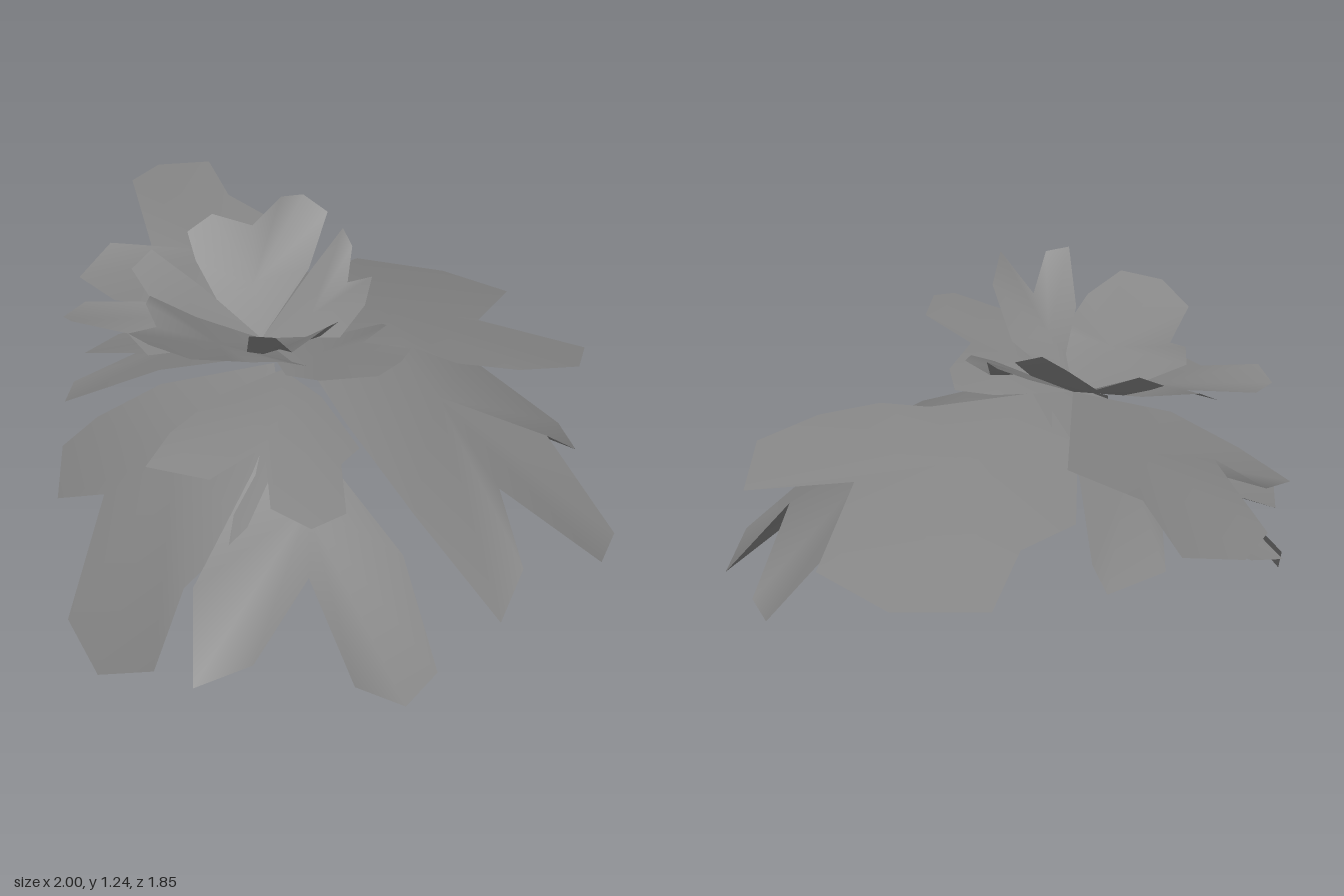
import * as THREE from 'three';

const material = new THREE.MeshStandardMaterial({ color: 0x858585, side: THREE.DoubleSide });

// A lobed leaf: its rim runs from the stalk round the lobe tips and notches and back;
// the blade fans out from a raised point on the midrib.
function leaf(name, midrib, rim) {
  const geometry = new THREE.BufferGeometry();
  const index = [];
  for (let i = 1; i <= rim.length; i++) index.push(0, i, (i % rim.length) + 1);
  geometry.setAttribute('position', new THREE.Float32BufferAttribute([midrib, ...rim].flat(), 3));
  geometry.setIndex(index);
  geometry.computeVertexNormals();
  const mesh = new THREE.Mesh(geometry, material);
  mesh.name = name;
  return mesh;
}

export function createModel() {
  const group = new THREE.Group();
  group.name = 'leafRosette';
  const low = [0.02, 0.9, 0.06];   // stalk point of the large drooping leaves
  const high = [-0.08, 0.91, 0.1]; // stalk point of the small upright leaves

  // Large drooping leaves
  group.add(
    leaf('frontLeaf', [-0.15, 0.65, 0.48], [
      [-0.01, 0.86, 0.13], [-0.38, 0.7, 0.25], [-0.62, 0.5, 0.3], [-0.74, 0.36, 0.35],
      [-0.69, 0.22, 0.45], [-0.41, 0.41, 0.53], [-0.41, 0.03, 0.75], [-0.18, 0, 0.88],
      [0.08, 0.17, 0.91], [0.1, 0.42, 0.77], [0.22, 0.6, 0.6], [0.19, 0.75, 0.36]]),
    leaf('frontLeftLeaf', [0.32, 0.61, 0.42], [
      [0.08, 0.82, 0.2], [0.14, 0.69, 0.46], [0.16, 0.47, 0.8], [0.24, 0.19, 0.92],
      [0.39, 0.28, 0.81], [0.45, 0.51, 0.6], [0.65, 0.2, 0.64], [0.78, 0.12, 0.55],
      [0.8, 0.16, 0.4], [0.58, 0.44, 0.27], [0.34, 0.65, 0.27]]),
    leaf('leftLeaf', [0.42, 0.73, -0.17], [
      low, [0.2, 0.85, -0.2], [0.34, 0.64, -0.53], [0.55, 0.32, -0.78], [0.67, 0.31, -0.69],
      [0.69, 0.53, -0.43], [0.94, 0.2, -0.485], [1, 0.24, -0.28], [0.72, 0.55, -0.07],
      [0.9, 0.4, 0.07], [0.94, 0.34, 0.27], [0.6, 0.6, 0.25], [0.3, 0.78, 0.18]]),
    leaf('backLeaf', [0.06, 0.85, -0.35], [
      low, [0.3, 0.88, -0.17], [0.47, 0.86, -0.2], [0.63, 0.83, -0.32], [0.75, 0.79, -0.5],
      [0.67, 0.73, -0.69], [0.34, 0.79, -0.55], [0.25, 0.69, -0.9], [-0.03, 0.66, -0.93],
      [-0.31, 0.68, -0.8], [-0.28, 0.76, -0.58], [-0.37, 0.78, -0.4], [-0.22, 0.85, -0.12]]),
    leaf('rightLowerLeaf', [-0.35, 0.78, -0.02], [
      [0.13, 0.95, 0.1], [-0.27, 0.81, -0.2], [-0.45, 0.68, -0.44], [-0.53, 0.63, -0.49],
      [-0.64, 0.65, -0.32], [-0.55, 0.7, -0.17], [-0.8, 0.58, -0.04], [-0.86, 0.54, 0.07],
      [-0.58, 0.68, 0.13], [-0.74, 0.58, 0.27], [-0.67, 0.6, 0.4], [-0.36, 0.78, 0.28]]),
  );

  // Middle, nearly level leaves
  group.add(
    leaf('rightMiddleLeaf', [-0.45, 0.96, -0.2], [
      high, [-0.35, 0.98, -0.42], [-0.63, 0.99, -0.47], [-0.85, 0.97, -0.65],
      [-1, 0.955, -0.55], [-1, 0.96, -0.4], [-0.68, 0.95, -0.1], [-0.86, 0.9, -0.1],
      [-0.87, 0.84, 0.06], [-0.66, 0.86, 0.13], [-0.42, 0.92, 0.13]]),
    leaf('frontMiddleLeaf', [0.18, 0.87, 0.36], [
      [0.05, 0.88, 0.17], [-0.04, 0.87, 0.4], [-0.05, 0.86, 0.62], [-0.03, 0.83, 0.77],
      [0.15, 0.81, 0.69], [0.21, 0.84, 0.49], [0.36, 0.78, 0.67], [0.5, 0.76, 0.66],
      [0.55, 0.77, 0.55], [0.43, 0.81, 0.4], [0.43, 0.81, 0.3], [0.22, 0.86, 0.2]]),
  );

  // Small upper leaves
  group.add(
    leaf('frontUpperLeaf', [-0.11, 0.99, 0.3], [
      high, [-0.28, 0.96, 0.18], [-0.41, 1.03, 0.25], [-0.37, 1.05, 0.32], [-0.29, 1.02, 0.37],
      [-0.28, 1.08, 0.52], [-0.15, 1.12, 0.58], [0, 1.12, 0.57], [0.06, 1.07, 0.45],
      [0.07, 1.02, 0.36], [0.16, 1.04, 0.33], [0.22, 1.02, 0.28], [0.1, 0.94, 0.19]]),
    leaf('rightUpperLeaf', [-0.32, 0.96, 0.2], [
      high, [-0.35, 0.99, 0.06], [-0.55, 1.06, 0.06], [-0.58, 1.01, 0.13], [-0.44, 0.97, 0.2],
      [-0.63, 0.96, 0.31], [-0.64, 0.95, 0.41], [-0.57, 0.98, 0.45], [-0.4, 0.96, 0.38],
      [-0.28, 0.95, 0.43], [-0.2, 0.93, 0.3]]),
    leaf('backRightUpperLeaf', [-0.2, 1.01, -0.02], [
      high, [-0.28, 0.97, 0.07], [-0.4, 1.05, 0.02], [-0.47, 1.11, -0.03], [-0.42, 1.16, -0.1],
      [-0.31, 1.12, -0.17], [-0.25, 1.21, -0.25], [-0.17, 1.24, -0.26], [-0.08, 1.2, -0.27],
      [-0.05, 1.07, -0.12]]),
    leaf('backLeftUpperLeaf', [0.04, 0.99, 0], [
      high, [-0.05, 1.06, -0.13], [-0.02, 1.16, -0.27], [0.05, 1.14, -0.22], [0.08, 1.05, -0.15],
      [0.16, 1.09, -0.17], [0.2, 1.05, -0.07], [0.18, 0.98, 0.04]]),
    leaf('leftUpperLeaf', [0.16, 0.96, 0.13], [
      high, [0.12, 0.92, -0.06], [0.22, 0.95, -0.14], [0.27, 0.99, -0.09], [0.28, 1.01, 0.06],
      [0.46, 1.06, 0.07], [0.49, 1.08, 0.17], [0.46, 1.06, 0.25], [0.29, 1.01, 0.31],
      [0.12, 0.93, 0.25]]),
    leaf('frontLeftUpperLeaf', [0.09, 1.01, 0.24], [
      high, [0.16, 1.02, 0.12], [0.28, 1.16, 0.2], [0.32, 1.22, 0.32], [0.2, 1.09, 0.33],
      [0.21, 1.2, 0.43], [0.15, 1.21, 0.48], [0.06, 1.06, 0.37], [0.02, 0.96, 0.23]]),
  );
  return group;
}
